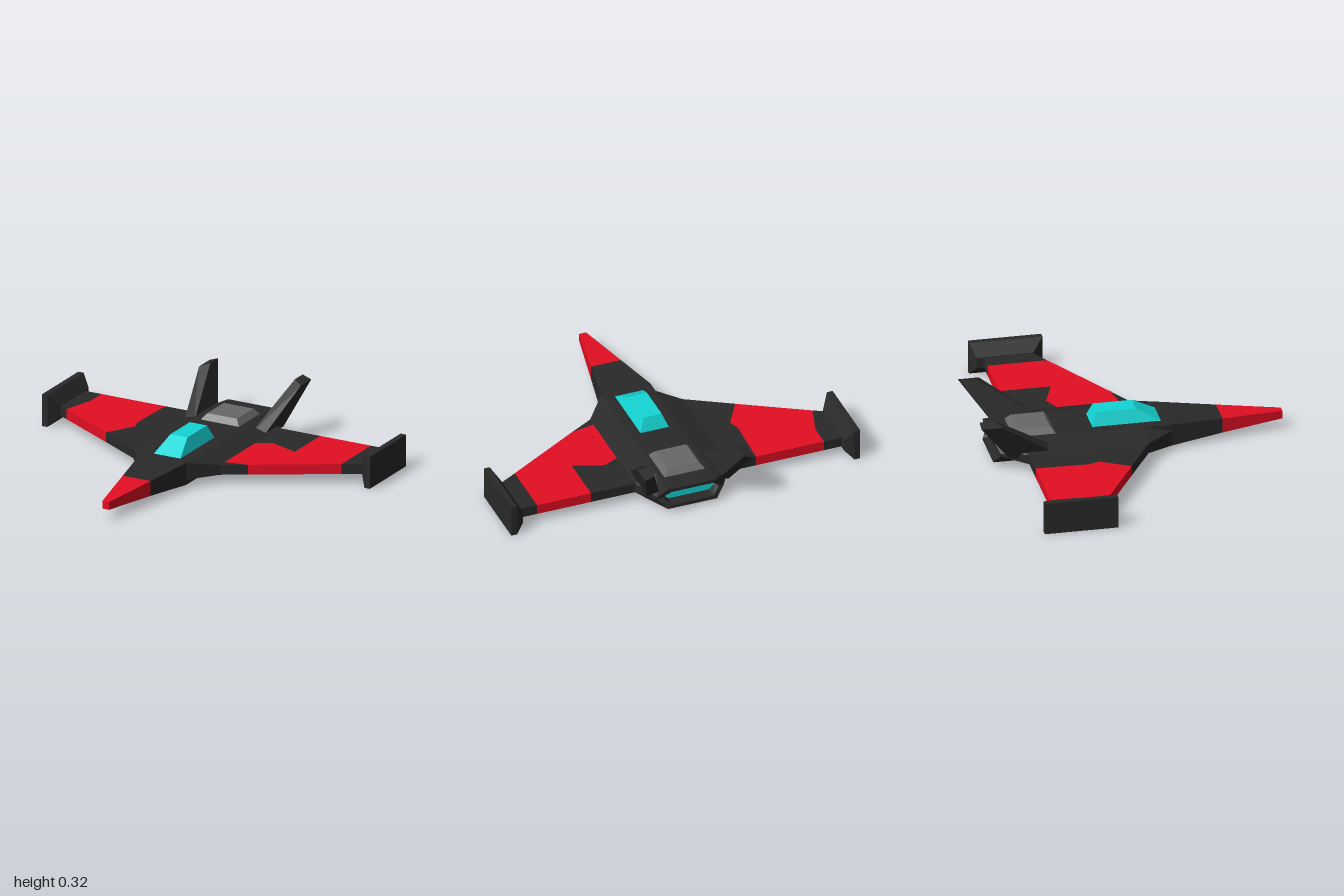
import * as THREE from 'three';
import { ConvexGeometry } from 'three/addons/geometries/ConvexGeometry.js';

const material = (color) => new THREE.MeshStandardMaterial({ color, flatShading: true });

// Eight-cornered hull section: top/bottom half width, chine half width, four heights,
// and the z of the flat and chine corners
function ring(z, wFlat, wChine, yBottom, yLow, yHigh, yTop, zChine = z) {
  return [
    [wFlat, yTop, z], [-wFlat, yTop, z], [-wChine, yHigh, zChine], [-wChine, yLow, zChine],
    [-wFlat, yBottom, z], [wFlat, yBottom, z], [wChine, yLow, zChine], [wChine, yHigh, zChine],
  ];
}

// Skin over rings that run from front to back, with optional end caps
function loft(rings, capFront, capBack) {
  const out = [];
  const tri = (...corners) => corners.forEach((c) => out.push(...c));
  for (let k = 0; k + 1 < rings.length; k++) {
    const a = rings[k], b = rings[k + 1];
    for (let i = 0; i < a.length; i++) {
      const j = (i + 1) % a.length;
      tri(a[i], b[i], a[j]);
      tri(a[j], b[i], b[j]);
    }
  }
  const first = rings[0], last = rings[rings.length - 1];
  for (let i = 1; i < 7; i++) {
    if (capFront) tri(first[0], first[i], first[i + 1]);
    if (capBack) tri(last[0], last[i + 1], last[i]);
  }
  const geometry = new THREE.BufferGeometry();
  geometry.setAttribute('position', new THREE.Float32BufferAttribute(out, 3));
  geometry.computeVertexNormals();
  return geometry;
}

// Flat wing panel from an outline of [x, z] points
function slab(outline, yTop = 0.108, thickness = 0.056) {
  const shape = new THREE.Shape(outline.map(([x, z]) => new THREE.Vector2(x, z)));
  const geometry = new THREE.ExtrudeGeometry(shape, { depth: thickness, bevelEnabled: false });
  return geometry.rotateX(Math.PI / 2).translate(0, yTop, 0);
}

const hull = (points) => new ConvexGeometry(points.map((p) => new THREE.Vector3(...p)));

// Corners of a rectangle across x and z at height y
const plate = (y, w, zFront, zBack) =>
  [[w, y, zFront], [-w, y, zFront], [w, y, zBack], [-w, y, zBack]];

export function createModel() {
  const model = new THREE.Group();
  model.name = 'spacecraft';
  const dark = material(0x292929);
  const red = material(0xe30e22);
  const cyan = material(0x14d6d6);
  const grey = material(0x686868);

  const add = (name, geometry, mat) => {
    const mesh = new THREE.Mesh(geometry, mat);
    mesh.name = name;
    model.add(mesh);
  };

  // Nose and fuselage
  const noseBase = ring(0.51, 0.085, 0.085, 0.042, 0.055, 0.115, 0.126);
  add('noseCone', loft([ring(0.85, 0.02, 0.02, 0.06, 0.068, 0.097, 0.105), noseBase], true, false), red);
  const nozzleFloor = ring(-0.69, 0.115, 0.15, 0.045, 0.078, 0.088, 0.12);
  add('fuselage', loft([
    noseBase,
    ring(0.22, 0.14, 0.14, 0.02, 0.05, 0.108, 0.145),
    ring(0.07, 0.14, 0.265, 0.02, 0.052, 0.108, 0.145),
    ring(-0.58, 0.14, 0.265, 0.02, 0.052, 0.108, 0.145),
    ring(-0.75, 0.14, 0.19, 0.02, 0.075, 0.09, 0.145, -0.72),
    ring(-0.75, 0.12, 0.16, 0.04, 0.077, 0.088, 0.125, -0.725),
    nozzleFloor,
  ], false, false), dark);
  add('engineGlow', loft([nozzleFloor], false, true), cyan);

  // Cockpit canopy and rear hatch
  add('canopy', hull([...plate(0.14, 0.083, 0.185, -0.2), ...plate(0.218, 0.052, 0.045, -0.168)]), cyan);
  add('rearHatch', hull([...plate(0.14, 0.12, -0.4, -0.64), ...plate(0.178, 0.09, -0.43, -0.61)]), grey);

  // Wing panels, painted differently on each side
  add('leftWingPaint', slab([[0.265, -0.32], [0.35, -0.36], [0.515, -0.3], [0.515, -0.58],
    [0.825, -0.58], [0.825, -0.255], [0.395, -0.003], [0.265, 0.02]]), red);
  add('leftWingRoot', slab([[0.265, -0.32], [0.35, -0.36], [0.515, -0.3], [0.515, -0.58],
    [0.265, -0.58]]), dark);
  add('leftWingFront', slab([[0.265, 0.07], [0.395, -0.003], [0.265, 0.02]]), dark);
  add('leftWingEnd', slab([[0.825, -0.255], [0.93, -0.316], [0.93, -0.58], [0.825, -0.58]]), dark);
  add('rightWingPaint', slab([[-0.43, -0.58], [-0.44, -0.29], [-0.42, -0.23], [-0.51, -0.074],
    [-0.87, -0.284], [-0.82, -0.46], [-0.82, -0.58]]), red);
  add('rightWingRoot', slab([[-0.265, 0.07], [-0.51, -0.074], [-0.42, -0.23], [-0.44, -0.29],
    [-0.43, -0.58], [-0.265, -0.58]]), dark);
  add('rightWingEnd', slab([[-0.82, -0.58], [-0.82, -0.46], [-0.87, -0.284], [-0.93, -0.316],
    [-0.93, -0.58]]), dark);

  for (const [side, s] of [['left', 1], ['right', -1]]) {
    // Wingtip plate with a bevelled inner side
    const tip = [];
    for (const [x, low, high, front, back] of [
      [1, 0, 0.18, -0.25, -0.65], [0.967, 0, 0.18, -0.25, -0.65], [0.92, 0.05, 0.112, -0.31, -0.62],
    ]) {
      for (const y of [low, high]) for (const z of [front, back]) tip.push([s * x, y, z]);
    }
    add(side + 'WingtipPlate', hull(tip), dark);

    // Swept tail fin leaning outward
    const fin = [];
    for (const [x, y, front, back] of [
      [0.17, 0.1, -0.42, -0.69], [0.235, 0.08, -0.42, -0.68],
      [0.258, 0.325, -0.765, -0.85], [0.31, 0.306, -0.735, -0.85],
    ]) fin.push([s * x, y, front], [s * x, y, back]);
    add(side + 'TailFin', hull(fin), dark);
  }
  return model;
}
